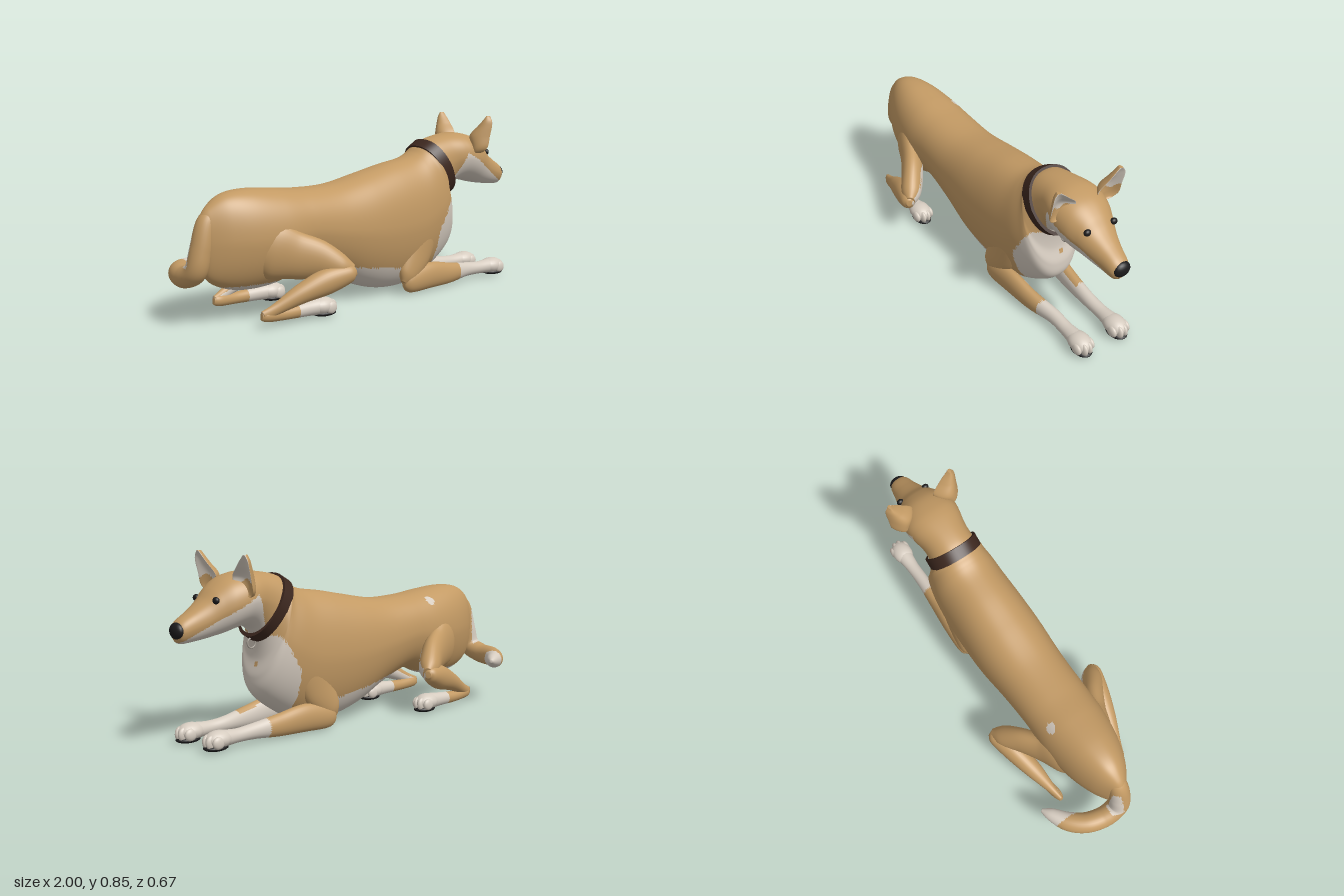
import * as THREE from 'three';
import { toCreasedNormals } from 'three/addons/utils/BufferGeometryUtils.js';

const paint = (name, color) => Object.assign(new THREE.MeshStandardMaterial({ color }), { name });
const V = (x, y, z) => new THREE.Vector3(x, y, z);

// Smoothly resample a list of cross-section rows (Catmull-Rom on every column)
function resample(rows, steps) {
  const out = [], last = rows.length - 1;
  for (let k = 0; k <= steps * last; k++) {
    const i = Math.min(Math.floor(k / steps), last - 1), t = k / steps - i;
    const p = [i - 1, i, i + 1, i + 2].map(n => rows[Math.max(0, Math.min(last, n))]);
    out.push(p[1].map((b, c) => {
      const a = p[0][c], d = p[2][c], e = p[3][c];
      return b + 0.5 * t * (d - a + t * (2 * a - 5 * b + 4 * d - e + t * (3 * (b - d) + e - a)));
    }));
  }
  return out;
}

// Skin closed rings; faces where isWhite(centre, normal) is true go to the second material
function skin(rings, isWhite = () => false, capped = true) {
  const n = rings[0].length, pts = rings.flat(), groups = [[], []];
  const add = (a, b, c) => {
    const A = pts[a], B = pts[b], C = pts[c];
    const mid = A.clone().add(B).add(C).divideScalar(3);
    const normal = B.clone().sub(A).cross(C.clone().sub(A)).normalize();
    groups[isWhite(mid, normal) ? 1 : 0].push(a, b, c);
  };
  for (let i = 0; i < rings.length - 1; i++) for (let j = 0; j < n; j++) {
    const a = i * n + j, b = i * n + (j + 1) % n;
    add(a, b, b + n);
    add(a, b + n, a + n);
  }
  if (capped) [0, rings.length - 1].forEach(r => {
    const centre = rings[r].reduce((s, p) => s.add(p), V(0, 0, 0)).divideScalar(n);
    const c = pts.push(centre) - 1;
    for (let j = 0; j < n; j++) {
      const a = r * n + j, b = r * n + (j + 1) % n;
      if (r) add(a, b, c); else add(b, a, c);
    }
  });
  const geo = new THREE.BufferGeometry().setFromPoints(pts);
  geo.setIndex([...groups[0], ...groups[1]]);
  geo.addGroup(0, groups[0].length, 0);
  geo.addGroup(groups[0].length, groups[1].length, 1);
  geo.computeVertexNormals();
  return geo;
}

// Ring through a top point and a bottom point, with half width w across z, narrower below
function section([xt, yt, xb, yb, w], n, scale = 1, dx = 0, dy = 0) {
  const bulge = v => Math.sign(v) * Math.abs(v) ** 0.87;
  return Array.from({ length: n }, (_, j) => {
    const a = j / n * Math.PI * 2, c = bulge(Math.cos(a)) * scale, s = bulge(Math.sin(a)) * scale;
    const z = s * w * (1 - 0.15 * Math.max(0, -c));
    return V((xt + xb) / 2 + c * (xt - xb) / 2 + dx, (yt + yb) / 2 + c * (yt - yb) / 2 + dy, z);
  });
}

// Limb along rows of [x, y, z, half width, half height]; ref fixes the height direction
function limb(rows, isWhite, ref = V(0, 1, 0), n = 32) {
  const r = resample(rows, 12), at = i => V(...r[Math.max(0, Math.min(r.length - 1, i))]);
  return skin(r.map((row, i) => {
    const t = at(i + 1).sub(at(i - 1)).normalize();
    const side = t.clone().cross(ref).normalize(), up = side.clone().cross(t);
    return Array.from({ length: n }, (_, j) => {
      const a = j / n * Math.PI * 2;
      return at(i).addScaledVector(up, Math.cos(a) * row[4]).addScaledVector(side, Math.sin(a) * row[3]);
    });
  }), isWhite);
}

export function createModel() {
  const dog = new THREE.Group();
  dog.name = 'lyingDog';
  const tan = paint('tanFur', 0xc39a64), white = paint('whiteFur', 0xd6ccc0);
  const black = paint('blackSkin', 0x1c1b1c), leather = paint('collarLeather', 0x3c271e);
  const metal = paint('tagMetal', 0xa39c92);
  const add = (name, geo, mat = [tan, white]) => {
    const m = new THREE.Mesh(geo, mat);
    m.name = name;
    dog.add(m);
    return m;
  };
  const ball = (name, mat, x, y, z, rx, ry, rz) => {
    const m = add(name, new THREE.SphereGeometry(1, 20, 14), mat);
    m.position.set(x, y, z);
    m.scale.set(rx, ry, rz);
  };

  // Body, neck and head: rows of [top x, top y, bottom x, bottom y, half width]
  const body = [
    [-0.93, 0.48, -0.92, 0.32, 0.02], [-0.89, 0.535, -0.9, 0.22, 0.055], [-0.81, 0.585, -0.82, 0.165, 0.105],
    [-0.7, 0.6, -0.7, 0.14, 0.145], [-0.55, 0.59, -0.55, 0.15, 0.168], [-0.4, 0.575, -0.4, 0.2, 0.167],
    [-0.2, 0.575, -0.22, 0.145, 0.172], [0, 0.61, -0.05, 0.065, 0.184], [0.15, 0.64, 0.12, 0.025, 0.184],
    [0.28, 0.66, 0.3, 0.035, 0.178], [0.34, 0.68, 0.45, 0.11, 0.17], [0.37, 0.7, 0.545, 0.19, 0.157],
    [0.38, 0.708, 0.56, 0.27, 0.15], [0.39, 0.714, 0.54, 0.36, 0.143], [0.405, 0.722, 0.545, 0.46, 0.125],
    [0.45, 0.742, 0.565, 0.485, 0.118], [0.52, 0.757, 0.59, 0.505, 0.12], [0.6, 0.766, 0.63, 0.52, 0.134],
    [0.66, 0.762, 0.68, 0.515, 0.14], [0.73, 0.742, 0.74, 0.5, 0.127], [0.79, 0.703, 0.79, 0.49, 0.103],
    [0.84, 0.655, 0.84, 0.482, 0.083], [0.9, 0.614, 0.9, 0.475, 0.064], [0.96, 0.578, 0.96, 0.472, 0.05],
    [0.985, 0.555, 0.98, 0.49, 0.032],
  ];
  const backSpot = V(-0.51, 0.54, -0.11), chestSpot = V(0.55, 0.335, -0.01);
  add('bodyAndHead', skin(resample(body, 12).map(r => section(r, 96)), p => {
    if (p.distanceTo(chestSpot) < 0.014) return false;
    const chest = p.x > 0.395 + Math.max(0, p.y - 0.3) * 0.6 && p.y < 0.47;
    const belly = p.x < -0.35 ? p.y < 0.17 : p.x < 0.4 && p.y < 0.16 - 0.15 * p.x;
    const jaw = p.x > 0.54 && p.y < Math.min(0.55 + 2 * (p.x - 0.56), 0.67 - 0.54 * (p.x - 0.62));
    return chest || belly || jaw || p.distanceTo(backSpot) < 0.026;
  }));
  ball('nose', black, 0.972, 0.53, -0.003, 0.027, 0.038, 0.044);

  // Tail hangs down, then curls round to the right
  const slant = V(0.6, -0.8, 0);
  add('tail', limb([
    [-0.84, 0.53, 0, 0.03, 0.02], [-0.885, 0.465, 0, 0.046, 0.05], [-0.92, 0.35, 0, 0.052, 0.052],
    [-0.94, 0.255, -0.015, 0.052, 0.052], [-0.945, 0.218, -0.09, 0.052, 0.05], [-0.92, 0.215, -0.18, 0.05, 0.05],
    [-0.865, 0.215, -0.25, 0.046, 0.046], [-0.79, 0.222, -0.3, 0.03, 0.03], [-0.75, 0.225, -0.325, 0.008, 0.008],
  ], p => p.x > -0.855 && p.z < -0.2 || p.z < -0.015 && p.z > -0.07 && p.y > 0.27 && p.y < 0.45 && p.x < -0.915, slant));

  // Collar band and its ring
  const loop = [0.4, 0.725, 0.56, 0.454, 0.131];
  const band = [[0.92, -1], [1.03, -1], [1.03, 1], [0.92, 1]].map(([s, o]) => section(loop, 64, s, o * 0.025, o * 0.015));
  add('collar', toCreasedNormals(skin(band, undefined, false), 0.8), [leather, leather]);
  add('collarRing', new THREE.TorusGeometry(0.023, 0.004, 8, 28), metal).position.set(0.565, 0.433, -0.005);

  // Paw: rounded foot with four slight toes and a dark sole
  const paw = (name, x, z) => {
    ball(name, white, x - 0.012, 0.05, z, 0.068, 0.041, 0.051);
    for (let i = 0; i < 4; i++) {
      const o = i - 1.5, inner = Math.abs(o) < 1;
      ball(name + 'Toe', white, x + (inner ? 0.032 : 0.014), 0.043, z + o * 0.025, 0.032, inner ? 0.034 : 0.029, 0.0155);
    }
    ball(name + 'Sole', black, x + 0.002, 0.016, z, 0.062, 0.016, 0.044);
  };

  for (const s of [1, -1]) {
    const side = s > 0 ? 'left' : 'right';
    const mirror = rows => rows.map(([x, y, z, ...r]) => [x, y, z * s, ...r]);

    ball(side + 'Eye', black, 0.816, 0.655, 0.072 * s - 0.005, 0.014, 0.016, 0.018);

    // Ear: rows of [height, inner z, outer z, x], cupped forward
    const ear = resample([
      [0.665, 0.115, 0.15, 0.675], [0.675, 0.1, 0.172, 0.682], [0.7, 0.08, 0.19, 0.693], [0.75, 0.06, 0.192, 0.704],
      [0.8, 0.105, 0.194, 0.716], [0.83, 0.135, 0.19, 0.72], [0.854, 0.16, 0.175, 0.72],
    ], 12).map(([y, zi, zo, x]) => Array.from({ length: 40 }, (_, j) => {
      const a = j / 40 * Math.PI * 2, half = (zo - zi) / 2, c = Math.cos(a), w = Math.sin(a);
      return V(x + 0.012 * c - half * 0.7 * (1 - w * w) + 0.012, y, s * (zi + zo) / 2 - w * half - 0.005);
    }));
    add(side + 'Ear', skin(ear, (p, n) => n.x > 0.1 && p.y > 0.735 + 0.012 * Math.sin(p.z * 90)));

    // Front leg: shoulder to elbow, then the forearm flat on the ground
    const foreZ = s > 0 ? 0.095 : -0.11;
    add(side + 'UpperArm', limb(mirror([
      [0.36, 0.42, 0.1, 0.03, 0.03], [0.33, 0.34, 0.112, 0.05, 0.09], [0.27, 0.2, 0.125, 0.042, 0.09],
      [0.2, 0.1, 0.132, 0.035, 0.06], [0.17, 0.06, 0.135, 0.015, 0.02],
    ]), undefined, slant));
    add(side + 'Forearm', limb([
      [0.17, 0.06, 0.135 * s, 0.012, 0.02], [0.21, 0.06, 0.135 * s, 0.034, 0.055], [0.35, 0.072, 0.13 * s, 0.038, 0.066],
      [0.5, 0.06, 0.118 * s, 0.036, 0.053], [0.64, 0.054, foreZ, 0.033, 0.037], [0.74, 0.05, foreZ, 0.033, 0.032],
      [0.84, 0.05, foreZ, 0.042, 0.038], [0.875, 0.048, foreZ, 0.025, 0.025],
    ], (p, n) => p.x > 0.57 || p.x > 0.32 && n.z * s < -0.3 && n.y < 0.6));
    paw(side + 'FrontPaw', 0.853, foreZ);

    // Hind leg: thigh out to the knee, shank back to the hock, foot forward
    const hindZ = s > 0 ? 0.19 : -0.203;
    const inside = (p, n) => n.y < 0.3 && p.y < 0.315 && (n.z * s < -0.15 || n.x > 0.75 && p.z * s < 0.28);
    add(side + 'Thigh', limb(mirror([
      [-0.72, 0.34, 0.07, 0.03, 0.05], [-0.62, 0.325, 0.105, 0.062, 0.13], [-0.52, 0.295, 0.155, 0.055, 0.11],
      [-0.43, 0.272, 0.205, 0.055, 0.092], [-0.345, 0.232, 0.265, 0.05, 0.062], [-0.3, 0.214, 0.298, 0.024, 0.032],
    ]), inside));
    add(side + 'Shank', limb(mirror([
      [-0.29, 0.212, 0.31, 0.014, 0.016], [-0.32, 0.208, 0.298, 0.038, 0.042], [-0.42, 0.18, 0.262, 0.05, 0.06],
      [-0.54, 0.137, 0.23, 0.043, 0.046], [-0.66, 0.082, 0.203, 0.023, 0.028], [-0.725, 0.053, 0.19, 0.014, 0.026],
    ]), inside));
    add(side + 'HindFoot', limb([
      [-0.735, 0.055, 0.188 * s, 0.01, 0.018], [-0.7, 0.052, 0.19 * s, 0.023, 0.027], [-0.6, 0.047, hindZ, 0.026, 0.028],
      [-0.48, 0.049, hindZ, 0.033, 0.034], [-0.4, 0.05, hindZ, 0.042, 0.039], [-0.36, 0.047, hindZ, 0.025, 0.025],
    ], p => p.x > -0.54));
    paw(side + 'HindPaw', -0.383, hindZ);
  }
  return dog;
}
